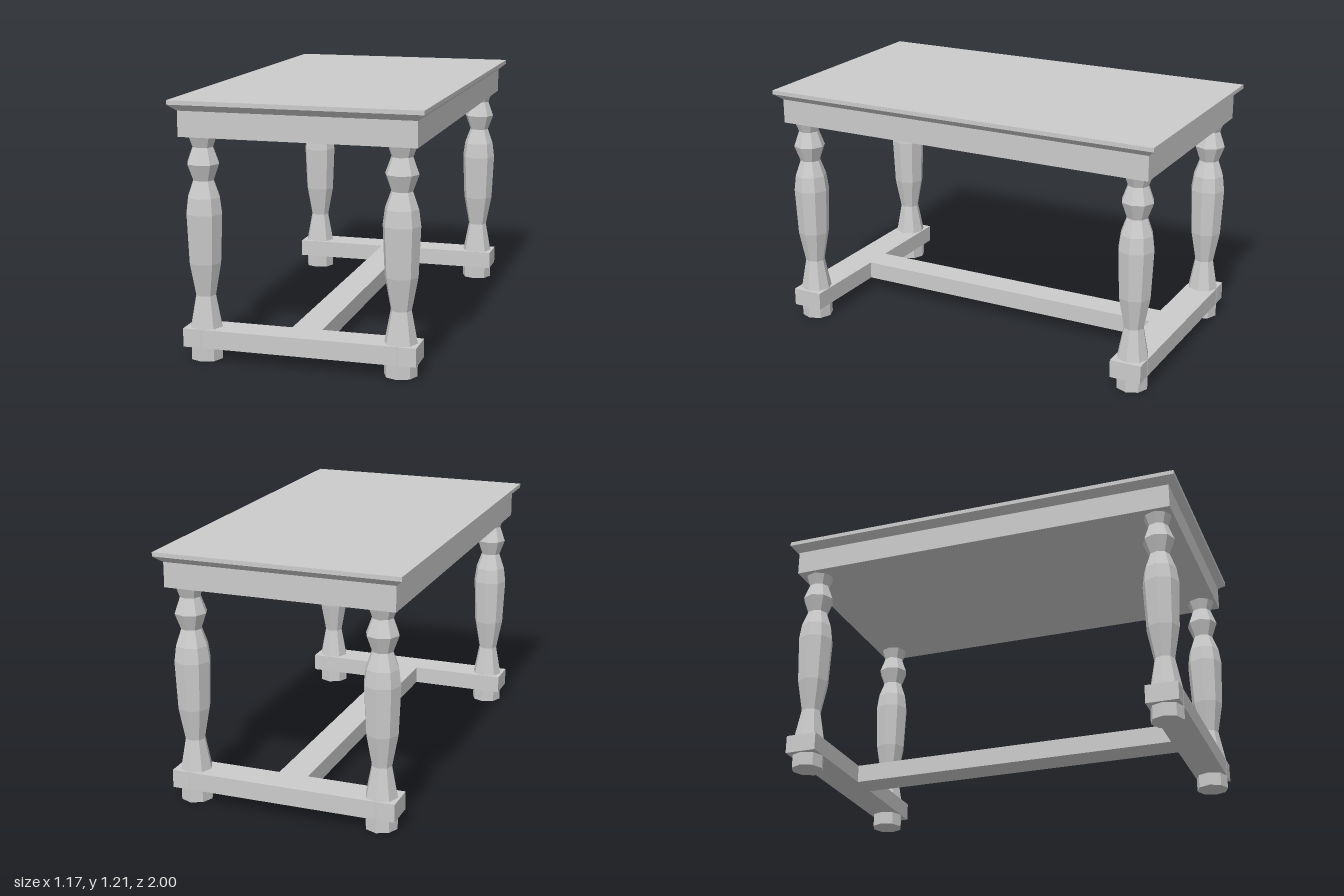
import * as THREE from 'three';

const material = new THREE.MeshStandardMaterial({ color: 0xcccccc, flatShading: true });

// Box given by its width, depth, and bottom and top heights
function slab(name, width, depth, y0, y1, z = 0) {
  const mesh = new THREE.Mesh(new THREE.BoxGeometry(width, y1 - y0, depth), material);
  mesh.name = name;
  mesh.position.set(0, (y0 + y1) / 2, z);
  return mesh;
}

export function createModel() {
  const table = new THREE.Group();
  table.name = 'table';

  // Top board, chamfered moulding below it, and solid apron
  table.add(slab('tableTop', 1.17, 2, 1.19, 1.21));
  const moulding = slab('topMoulding', 1.17, 2, 1.16, 1.19);
  const p = moulding.geometry.attributes.position;
  for (let i = 0; i < p.count; i++) {
    if (p.getY(i) < 0) {
      p.setX(i, Math.sign(p.getX(i)) * 0.55);
      p.setZ(i, Math.sign(p.getZ(i)) * 0.965);
    }
  }
  moulding.geometry.computeVertexNormals();
  table.add(moulding);
  table.add(slab('apron', 1.098, 1.93, 1.042, 1.16));

  // Turned eight-sided legs: [radius, height]
  const profile = [
    [0, 0], [0.077, 0], [0.077, 0.15], [0.048, 0.302], [0.077, 0.455], [0.087, 0.685],
    [0.077, 0.76], [0.049, 0.838], [0.077, 0.914], [0.049, 0.99], [0.069, 1.045],
  ].map(([r, y]) => new THREE.Vector2(r, y));
  const legGeometry = new THREE.LatheGeometry(profile, 8);
  for (const sx of [-1, 1]) {
    for (const sz of [-1, 1]) {
      const leg = new THREE.Mesh(legGeometry, material);
      leg.name = (sz > 0 ? 'front' : 'back') + (sx > 0 ? 'Left' : 'Right') + 'Leg';
      leg.position.set(sx * 0.462, 0, sz * 0.885);
      table.add(leg);
    }
  }

  // H-shaped stretcher: two end bars and one long centre bar
  table.add(slab('frontStretcher', 1.098, 0.153, 0.065, 0.152, 0.884));
  table.add(slab('backStretcher', 1.098, 0.153, 0.065, 0.152, -0.884));
  table.add(slab('centreStretcher', 0.144, 1.615, 0.065, 0.152));

  return table;
}
